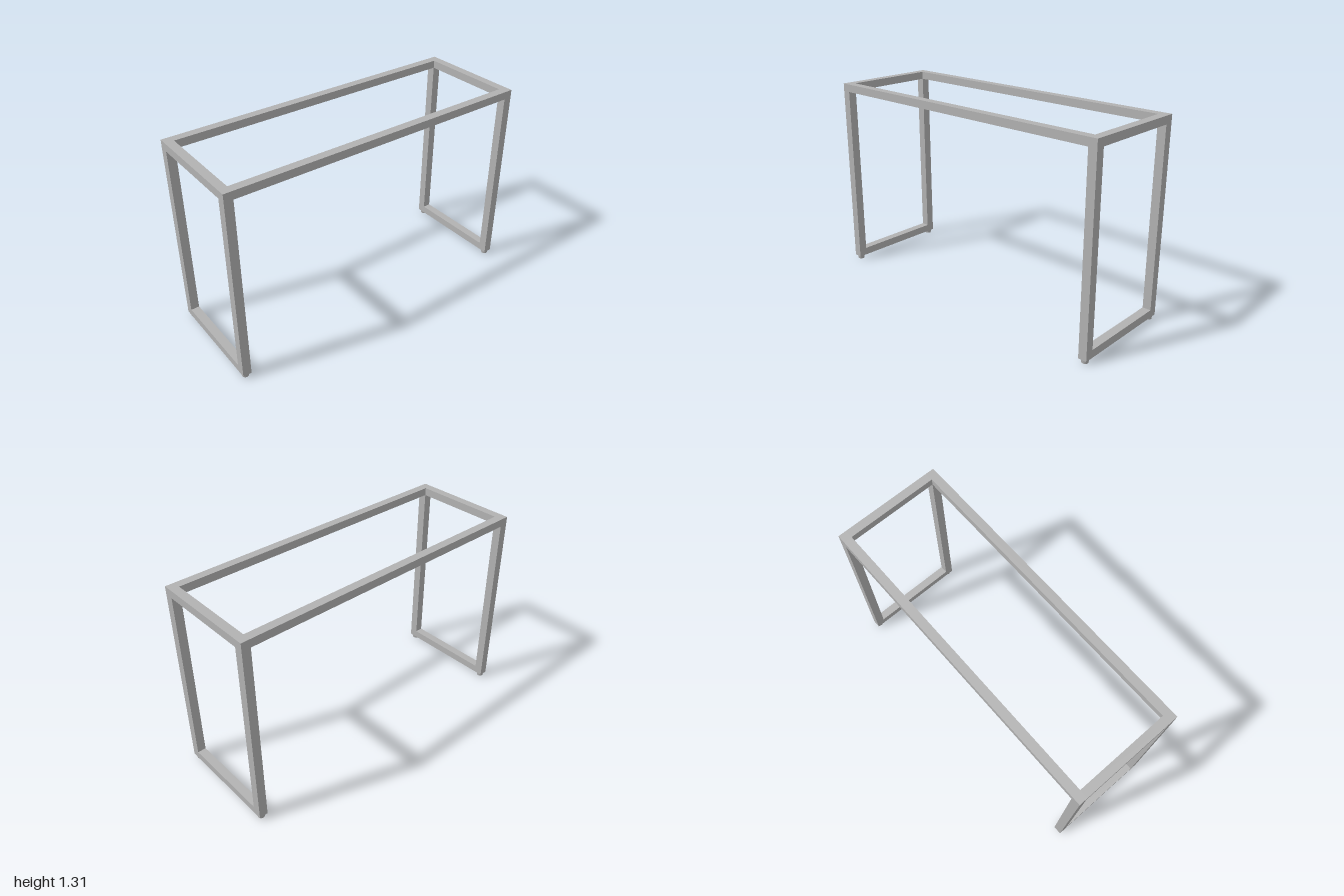
import * as THREE from 'three';

export function createModel() {
  const model = new THREE.Group();
  model.name = 'deskFrame';
  const steel = new THREE.MeshStandardMaterial({ color: 0xb2b2b2 });
  steel.name = 'light grey steel';

  const L = 2.102, W = 0.726, T = 0.056, H = 0.052; // length, width, tube width, rail height
  const bottom = 0.024, top = 1.307;
  const lx = L / 2 - T / 2, lz = W / 2 - T / 2;

  // the frame stands diagonally in its bounding square
  const frame = new THREE.Group();
  frame.name = 'frame';
  frame.rotation.y = Math.PI / 4;
  model.add(frame);

  const add = (name, geometry, x, y, z) => {
    const mesh = new THREE.Mesh(geometry, steel);
    mesh.name = name;
    mesh.position.set(x, y, z);
    frame.add(mesh);
  };

  const legGeo = new THREE.BoxGeometry(T, top - bottom, T);
  const longGeo = new THREE.BoxGeometry(L - 2 * T, H, T);
  const endGeo = new THREE.BoxGeometry(T, H, W - 2 * T);
  // levelling foot: short disc, slightly narrower at the floor
  const footGeo = new THREE.CylinderGeometry(0.024, 0.021, bottom, 24);

  for (const sx of [-1, 1]) {
    // legs and feet
    for (const sz of [-1, 1]) {
      add('leg', legGeo, sx * lx, (top + bottom) / 2, sz * lz);
      add('foot', footGeo, sx * lx, bottom / 2, sz * lz);
    }
    // end rails at the top and along the floor
    add('topEndRail', endGeo, sx * lx, top - H / 2, 0);
    add('bottomEndRail', endGeo, sx * lx, bottom + H / 2, 0);
  }
  // long top rails
  for (const sz of [-1, 1]) add('longRail', longGeo, 0, top - H / 2, sz * lz);

  return model;
}
